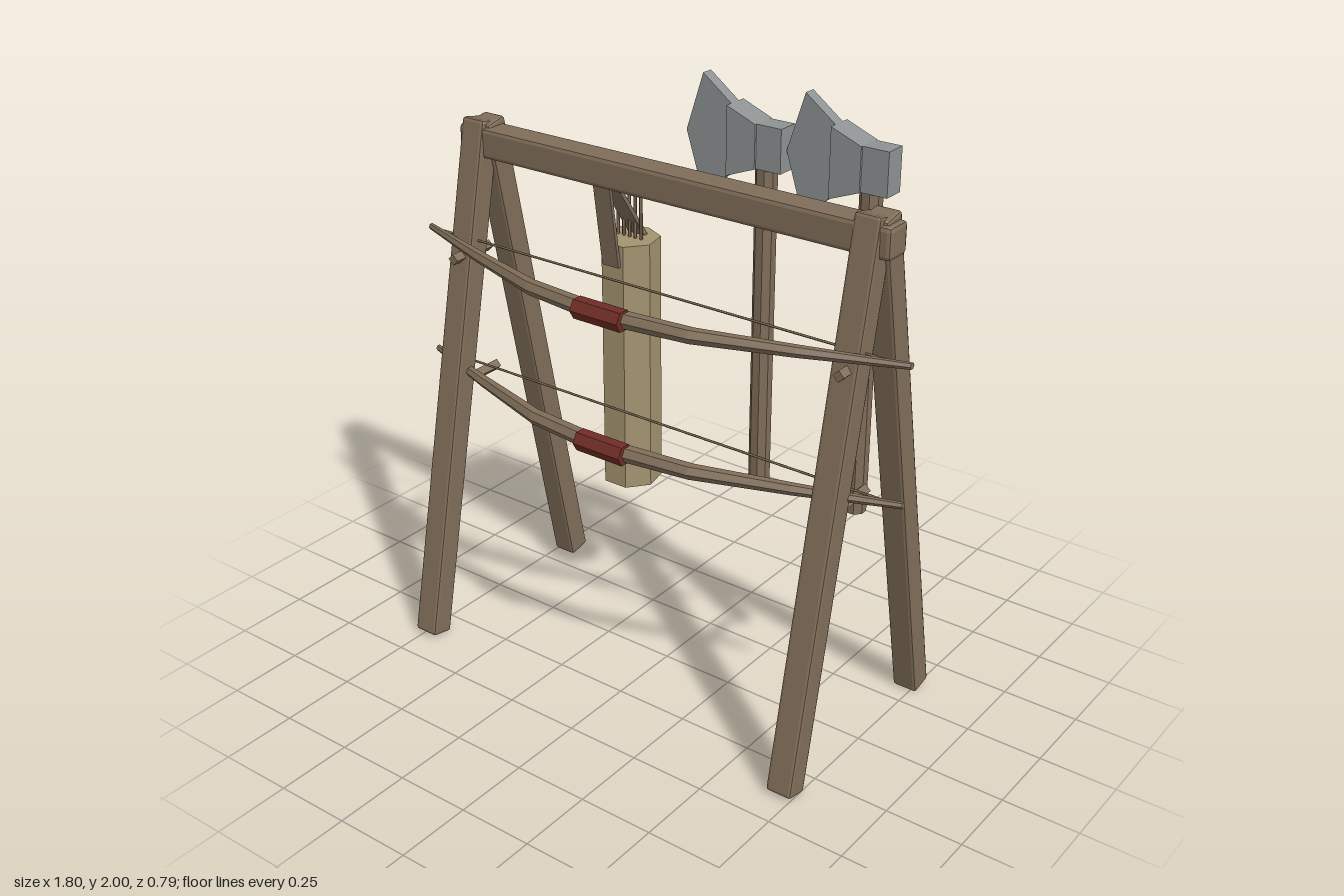
import * as THREE from 'three';
import { RoundedBoxGeometry } from 'three/addons/geometries/RoundedBoxGeometry.js';

const paint = (name, color) => new THREE.MeshStandardMaterial({ name, color, flatShading: true });

export function createModel() {
  const wood = paint('brown wood', 0x806d59);
  const hide = paint('tan leather', 0xa39470);
  const steel = paint('grey steel', 0x8e9292);
  const red = paint('dark red', 0x702c25);
  const cord = paint('bowstring cord', 0x85765a);

  const root = new THREE.Group();
  root.name = 'weaponRack';
  const group = (name, x = 0, y = 0, z = 0) => {
    const g = new THREE.Group();
    g.name = name;
    g.position.set(x, y, z);
    root.add(g);
    return g;
  };
  const add = (parent, name, geometry, material, x = 0, y = 0, z = 0) => {
    const m = new THREE.Mesh(geometry, material);
    m.name = name;
    m.position.set(x, y, z);
    parent.add(m);
    return m;
  };

  // Box of section w x d running between two points in the YZ plane
  const strut = (parent, name, x, a, b, w, d, bevel) => {
    const dy = b[0] - a[0], dz = b[1] - a[1], len = Math.hypot(dy, dz);
    const geo = bevel ? new RoundedBoxGeometry(w, len, d, 1, bevel) : new THREE.BoxGeometry(w, len, d);
    const m = add(parent, name, geo, wood, x, (a[0] + b[0]) / 2, (a[1] + b[1]) / 2);
    m.rotation.x = Math.atan2(dz, dy);
    return m;
  };

  // A-frame stand
  const frame = group('frame');
  add(frame, 'crossBeam', new RoundedBoxGeometry(1.58, 0.1, 0.094, 1, 0.014), wood, 0, 1.67, 0);
  strut(frame, 'frontLegLeft', 0.712, [0.008, 0.36], [1.737, 0.004], 0.088, 0.08, 0.01);
  strut(frame, 'frontLegRight', -0.732, [0.008, 0.36], [1.737, 0.004], 0.088, 0.08, 0.01);
  strut(frame, 'backLegLeft', 0.728, [0.008, -0.36], [1.737, -0.004], 0.085, 0.08, 0.01);
  strut(frame, 'backLegRight', -0.716, [0.008, -0.36], [1.737, -0.004], 0.085, 0.08, 0.01);

  // Pegs through the front legs
  for (const x of [-0.725, 0.72])
    for (const [y, z] of [[1.31, 0.087], [0.877, 0.075]]) {
      const peg = add(frame, 'peg', new THREE.CylinderGeometry(0.019, 0.019, 0.17, 4), wood, x, y, z);
      peg.rotation.x = Math.PI / 2;
    }

  // Bow limb stations: x, z, half depth, half height
  const half = [[0, 0.317, 0.028, 0.024], [0.3, 0.283, 0.027, 0.021], [0.6, 0.19, 0.021, 0.016], [0.9, 0.085, 0.011, 0.009]];
  const stations = [...half.slice(1).reverse().map(([x, ...r]) => [-x, ...r]), ...half];
  const bowGeometry = () => {
    const pos = [], idx = [], n = 6, last = stations.length - 1;
    for (const [x, z, d, h] of stations)
      for (let k = 0; k < n; k++) {
        const t = k / n * Math.PI * 2;
        pos.push(x, Math.sin(t) * h / 0.866, z + Math.cos(t) * d);
      }
    for (let i = 0; i < last; i++)
      for (let k = 0; k < n; k++) {
        const a = i * n + k, b = i * n + (k + 1) % n;
        idx.push(a, a + n, b, b, a + n, b + n);
      }
    for (let k = 1; k < n - 1; k++) {
      idx.push(0, k, k + 1);
      idx.push(last * n, last * n + k + 1, last * n + k);
    }
    const g = new THREE.BufferGeometry();
    g.setAttribute('position', new THREE.Float32BufferAttribute(pos, 3));
    g.setIndex(idx);
    g.computeVertexNormals();
    return g;
  };

  for (const y of [1.36, 0.925]) {
    const bow = group('bow', 0, y, 0);
    add(bow, 'bowLimbs', bowGeometry(), wood);
    const grip = add(bow, 'grip', new THREE.CylinderGeometry(0.035, 0.035, 0.175, 6), red, -0.003, 0, 0.318);
    grip.rotation.z = Math.PI / 2;
    const string = add(bow, 'bowstring', new THREE.CylinderGeometry(0.004, 0.004, 1.77, 5), cord, 0, 0, 0.09);
    string.rotation.z = Math.PI / 2;
  }

  // Quiver hung from the beam
  const quiver = group('quiver', -0.292, 0, -0.19);
  add(quiver, 'quiverBody', new THREE.CylinderGeometry(0.1, 0.1, 0.86, 7), hide, 0, 0.95, 0).rotation.y = Math.PI;
  strut(quiver, 'backStrap', 0, [1.65, 0.142], [1.37, -0.05], 0.065, 0.014);
  strut(quiver, 'frontStrap', 0, [1.64, 0.142], [1.31, 0.094], 0.065, 0.012);
  for (const [x, z] of [[0.05, -0.076], [0.028, -0.088]])
    add(quiver, 'rivet', new THREE.OctahedronGeometry(0.008), wood, x, 1.32, z);

  // Arrows standing in the quiver
  for (let i = -2; i <= 2; i++) {
    add(quiver, 'arrowShaft', new THREE.CylinderGeometry(0.006, 0.006, 0.2, 5), wood, i * 0.023, 1.45, 0);
    add(quiver, 'arrowHead', new THREE.ConeGeometry(0.017, 0.055, 4), red, i * 0.023, 1.552, 0);
  }

  // Axe head slab, mirrored about its own centre line, from an upper outline
  const slab = (upper, depth) => {
    const lower = upper.filter(p => p[1] > 0).reverse().map(([x, y]) => [x, -y]);
    const shape = new THREE.Shape([...upper, ...lower].map(p => new THREE.Vector2(...p)));
    return new THREE.ExtrudeGeometry(shape, { depth, bevelEnabled: false }).translate(0, 0, -depth / 2);
  };
  for (const [x, z] of [[0.285, -0.1], [0.632, -0.108]]) {
    const axe = group('axe', x, 0, z);
    add(axe, 'handle', new THREE.CylinderGeometry(0.034, 0.034, 1.1, 8), wood, 0, 1.285, 0).rotation.y = Math.PI / 8;
    add(axe, 'axeBlade', slab([[-0.273, 0], [-0.215, 0.18], [-0.115, 0.106]], 0.038), steel, 0, 1.82, 0);
    add(axe, 'axeCheek', slab([[-0.115, 0.106], [-0.015, 0.067]], 0.084), steel, 0, 1.82, 0);
    add(axe, 'axePoll', slab([[-0.015, 0.067], [0.07, 0.067]], 0.07), steel, 0, 1.82, 0);
  }

  return root;
}
